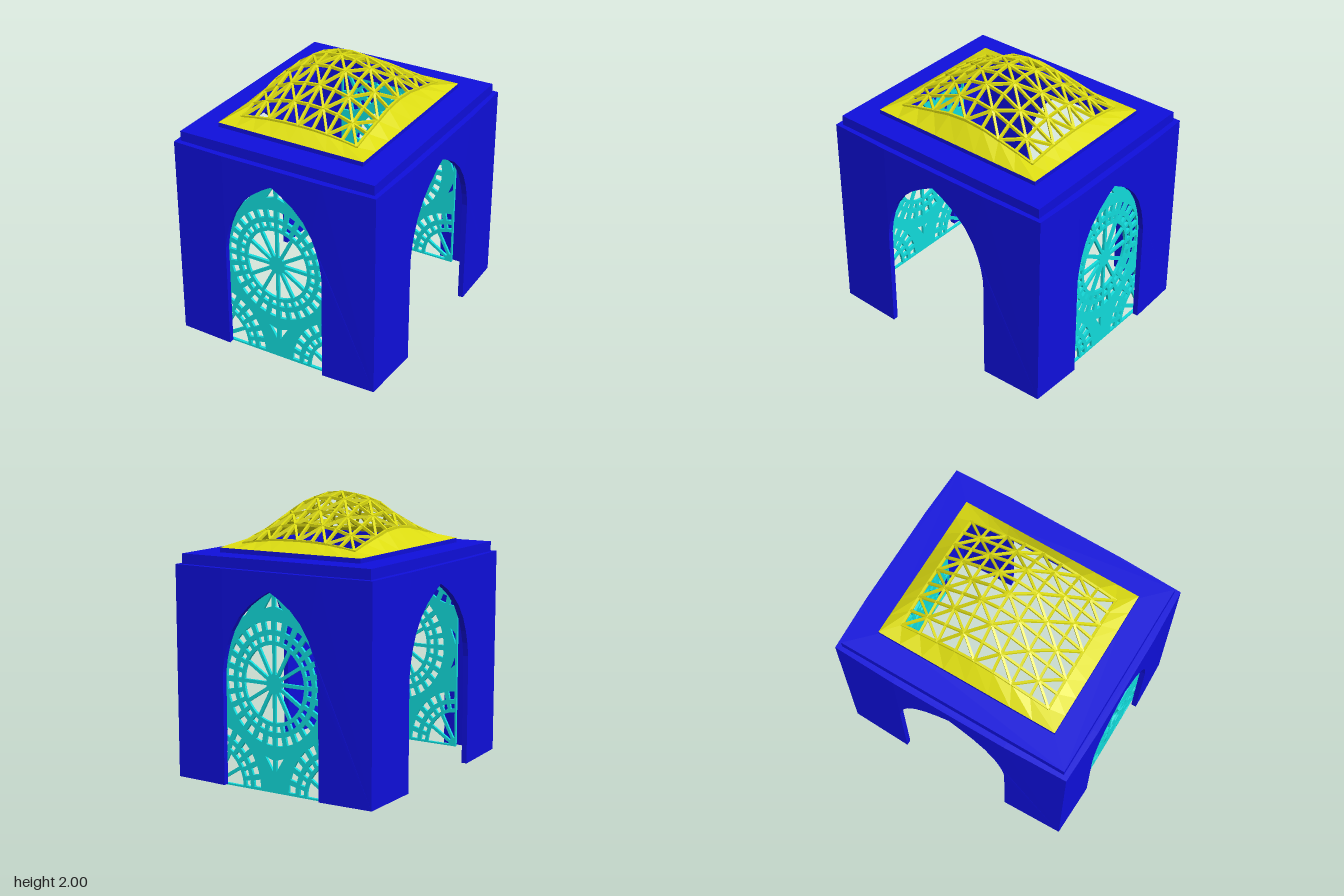
import * as THREE from 'three';

const mat = (color, extra = {}) => new THREE.MeshStandardMaterial({ color, flatShading: true, ...extra });
const blue = mat(0x0f0fdd);
const cyan = mat(0x11dddd);
const yellow = mat(0xdddd11, { side: THREE.DoubleSide });

function add(parent, name, geometry, material) {
  const mesh = new THREE.Mesh(geometry, material);
  mesh.name = name;
  parent.add(mesh);
  return mesh;
}

const polygon = (pts, Type = THREE.Shape) => new Type(pts.map(([x, y]) => new THREE.Vector2(x, y)));
const rect = (w, h) => [[-w, -h], [w, -h], [w, h], [-w, h]];
const extrude = (shape, depth) => new THREE.ExtrudeGeometry(shape, { depth, bevelEnabled: false });

// Half of the pointed arch: x as a fraction of the half width, and height
const ARCH = [[1, 0.01], [1, 0.81], [0.96, 0.91], [0.9, 1.0], [0.8, 1.1], [0.64, 1.2], [0.43, 1.285], [0.2, 1.35]];
const WALL = 0.04, TOP = 1.525;

// Thin wall with an arched doorway; its outer face slopes back a little to the corners
function wallGeometry(half, opening, outer) {
  const right = ARCH.map(([f, y]) => [f * opening, y]);
  const left = right.map(([x, y]) => [-x, y]).reverse();
  const shape = polygon([[half, 0.01], [half, TOP], [opening, TOP], [-opening, TOP], [-half, TOP], [-half, 0.01],
    ...left.reverse(), [0, 1.395], ...right.reverse()]);
  const g = extrude(shape, WALL).translate(0, 0, outer - WALL);
  const p = g.attributes.position;
  for (let i = 0; i < p.count; i++) {
    if (Math.abs(p.getX(i)) > half - 0.01) p.setZ(i, p.getZ(i) - 0.014);
  }
  g.computeVertexNormals();
  return g;
}

// Pierced screen: one whole wheel in the middle and a quarter wheel in each corner
const W = 0.5, H = 1.52, SX = 0.9;
function screenGeometry() {
  const shape = polygon([[-W, 0], [W, 0], [W, H], [-W, H]]);
  // One opening in a ring, leaving a bar of constant width on both sides
  const cell = (cx, cy, r0, r1, a0, a1, bar) => {
    const pts = [], n = 4;
    const arc = (r, from, to) => {
      for (let k = 0; k <= n; k++) {
        const a = from + (to - from) * k / n;
        pts.push([cx + SX * r * Math.cos(a), cy + r * Math.sin(a)]);
      }
    };
    arc(r1, a0 + bar / r1, a1 - bar / r1);
    arc(r0, a1 - bar / r0, a0 + bar / r0);
    shape.holes.push(polygon(pts, THREE.Path));
  };
  const rings = [
    { n: 3, r0: 0.07, r1: 0.268, bar: 0.012 },
    { n: 7, r0: 0.295, r1: 0.335, bar: 0.015 },
    { n: 7, r0: 0.37, r1: 0.43, bar: 0.019 },
  ];
  const quarter = (cx, cy, q) => {
    for (const { n, r0, r1, bar } of rings) {
      const step = Math.PI / 2 / n;
      for (let i = 0; i < n; i++) cell(cx, cy, r0, r1, q * Math.PI / 2 + i * step, q * Math.PI / 2 + (i + 1) * step, bar);
    }
  };
  for (let q = 0; q < 4; q++) quarter(0, H / 2, q);
  quarter(-W, 0, 0);
  quarter(W, 0, 1);
  quarter(W, H, 2);
  quarter(-W, H, 3);
  // Small triangles in the gaps between the wheels
  for (const s of [-1, 1]) {
    for (const f of [y => y, y => H - y]) {
      shape.holes.push(polygon([[s * 0.014, f(0.15)], [s * 0.014, f(0.23)], [s * 0.075, f(0.25)]], THREE.Path));
      shape.holes.push(polygon([[s * 0.485, f(0.72)], [s * 0.485, f(0.64)], [s * 0.44, f(0.6)]], THREE.Path));
    }
  }
  return extrude(shape, 0.02);
}

// Flat frame with a rectangular opening, lying between two heights
function frameGeometry(w, d, iw, id, y0, y1) {
  const shape = polygon(rect(w, d));
  shape.holes.push(polygon(rect(iw, id), THREE.Path));
  return extrude(shape, y1 - y0).rotateX(-Math.PI / 2).translate(0, y0, 0);
}

// Dome surface sampled on a 9 by 9 grid of nodes
const DX = 0.45, DZ = 0.575, BASE = 1.63, RISE = 0.36;
const FX = [1, 0.965, 0.86, 0.65, 0.38], FZ = [1, 0.92, 0.69, 0.46, 0.19];
const node = (i, j) => new THREE.Vector3(
  (i - 4) / 4 * DX,
  BASE + RISE * FX[Math.abs(i - 4)] * FZ[Math.abs(j - 4)],
  (j - 4) / 4 * DZ);

function buildDome() {
  const dome = new THREE.Group();
  dome.name = 'latticeDome';
  const bars = [];
  for (let i = 0; i <= 8; i++) {
    for (let j = 0; j <= 8; j++) {
      if (i < 8) bars.push([node(i, j), node(i + 1, j)]);
      if (j < 8) bars.push([node(i, j), node(i, j + 1)]);
      if (i < 8 && j < 8) {
        bars.push((i + j) % 2 ? [node(i + 1, j), node(i, j + 1)] : [node(i, j), node(i + 1, j + 1)]);
      }
    }
  }
  const up = new THREE.Vector3(0, 1, 0);
  const lattice = new THREE.InstancedMesh(new THREE.BoxGeometry(1, 1, 1), yellow, bars.length);
  const geo = lattice.geometry;
  for (const [a, b] of bars) {
    const dir = b.clone().sub(a), len = dir.length();
    const z = dir.normalize(), x = up.clone().cross(z).normalize(), y = z.clone().cross(x);
    const bar = add(dome, 'latticeBar', geo, yellow);
    bar.quaternion.setFromRotationMatrix(new THREE.Matrix4().makeBasis(x, y, z));
    bar.position.copy(a).add(b).multiplyScalar(0.5);
    bar.scale.set(0.017, 0.02, len + 0.008);
  }

  // Solid skirt from the edge of the lattice down to the rectangular base
  const loop = [];
  for (let k = 0; k < 8; k++) loop.push([k, 8]);
  for (let k = 8; k > 0; k--) loop.push([8, k]);
  for (let k = 8; k > 0; k--) loop.push([k, 0]);
  for (let k = 0; k < 8; k++) loop.push([0, k]);
  const pos = [], index = [];
  loop.forEach(([i, j], k) => {
    const p = node(i, j), n = (k + 1) % loop.length;
    pos.push(p.x, p.y, p.z, p.x / DX * 0.568, BASE, p.z / DZ * 0.692);
    index.push(2 * k, 2 * k + 1, 2 * n + 1, 2 * k, 2 * n + 1, 2 * n);
  });
  const skirt = new THREE.BufferGeometry();
  skirt.setAttribute('position', new THREE.Float32BufferAttribute(pos, 3));
  skirt.setIndex(index);
  skirt.computeVertexNormals();
  add(dome, 'domeSkirt', skirt, yellow);
  return dome;
}

export function createModel() {
  const model = new THREE.Group();
  model.name = 'pavilion';

  // Four arched walls, with a screen behind the front and back ones
  const endWall = wallGeometry(0.786, 0.385, 0.926);
  const sideWall = wallGeometry(0.912, 0.44, 0.8);
  const screen = screenGeometry();
  for (const [name, turn] of [['front', 0], ['back', Math.PI]]) {
    add(model, name + 'Wall', endWall, blue).rotation.y = turn;
    const panel = add(model, name + 'Screen', screen, cyan);
    panel.rotation.y = turn;
    panel.position.z = Math.cos(turn) * 0.855;
  }
  for (const [name, turn] of [['left', Math.PI / 2], ['right', -Math.PI / 2]]) {
    add(model, name + 'Wall', sideWall, blue).rotation.y = turn;
  }

  // Stepped roof, open in the middle under the dome
  add(model, 'ceiling', frameGeometry(0.775, 0.895, 0.53, 0.655, 1.5, 1.522), blue);
  add(model, 'lowerCornice', frameGeometry(0.755, 0.876, 0.53, 0.655, 1.52, 1.597), blue);
  add(model, 'upperCornice', frameGeometry(0.566, 0.692, 0.53, 0.655, 1.597, 1.63), blue);

  model.add(buildDome());
  return model;
}
